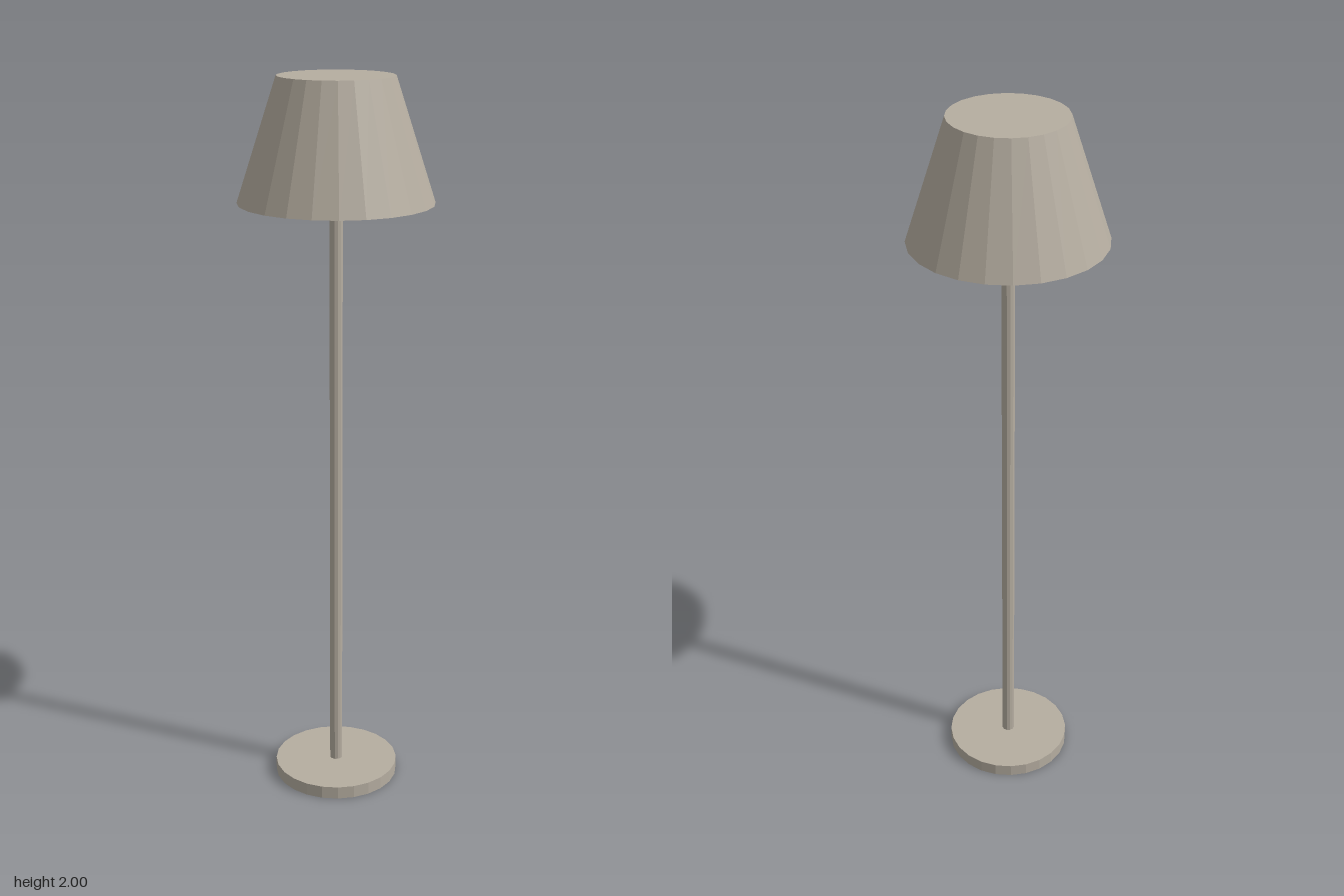
import * as THREE from 'three';

export function createModel() {
  const lamp = new THREE.Group();
  lamp.name = 'floorLamp';
  const taupe = new THREE.MeshStandardMaterial({ color: 0xb5ada0, flatShading: true });
  taupe.name = 'warmTaupe';

  function add(name, geometry, y) {
    const mesh = new THREE.Mesh(geometry, taupe);
    mesh.name = name;
    mesh.position.y = y;
    lamp.add(mesh);
  }

  // Cylinder spanning two heights
  function column(name, topRadius, bottomRadius, y0, y1, sides) {
    add(name, new THREE.CylinderGeometry(topRadius, bottomRadius, y1 - y0, sides), (y0 + y1) / 2);
  }

  column('base', 0.176, 0.176, 0, 0.036, 24);
  column('pole', 0.018, 0.018, 0.036, 1.69, 12);
  // Closed tapered shade
  column('shade', 0.154, 0.26, 1.675, 2, 24);
  // Bulb, just peeking out below the shade
  add('bulb', new THREE.SphereGeometry(0.057, 16, 12), 1.721);

  return lamp;
}
